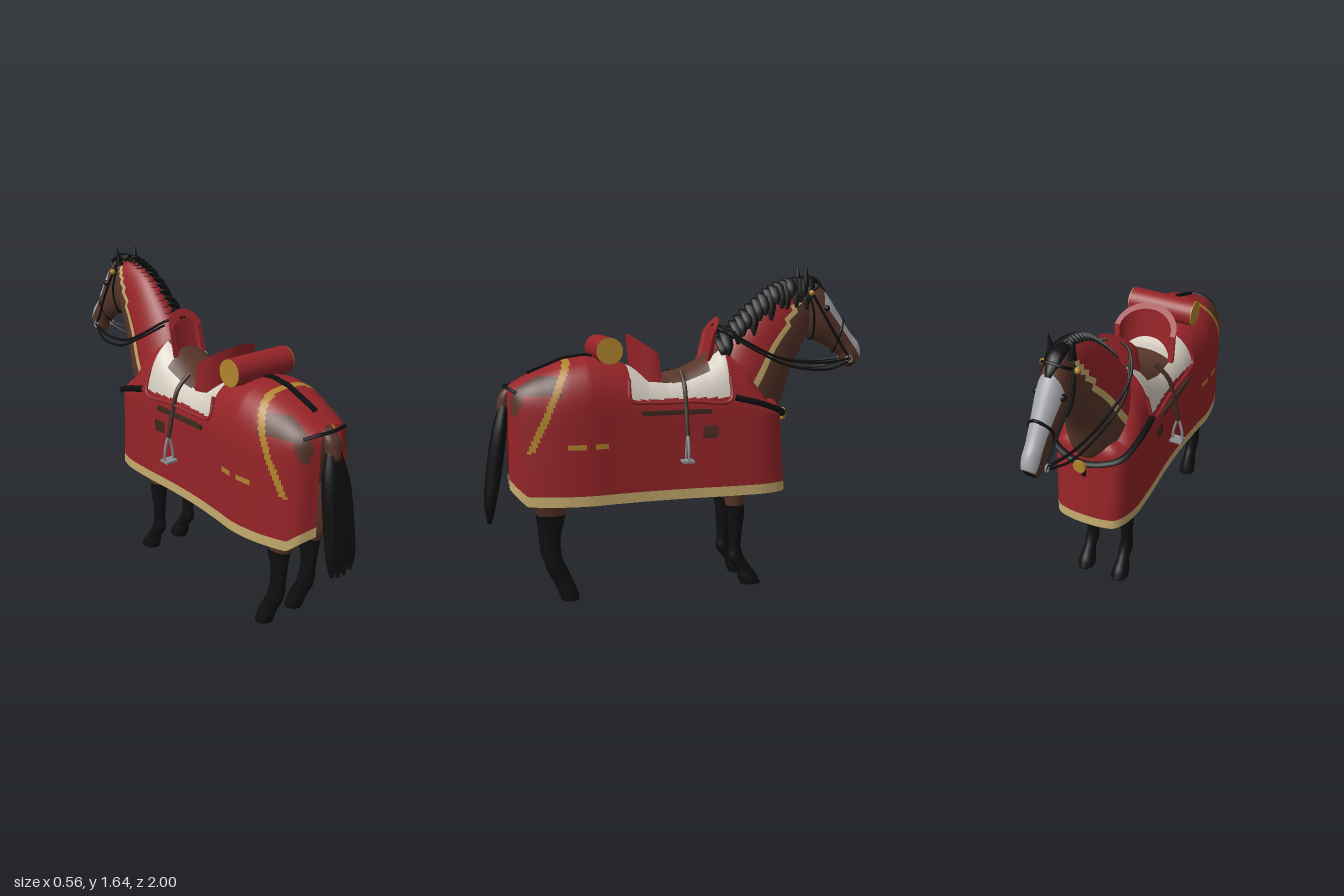
import * as THREE from 'three';

const V = (x, y, z) => new THREE.Vector3(x, y, z);

export function createModel() {
  const root = new THREE.Group();
  const mat = (name, color, side = THREE.FrontSide) => {
    const m = new THREE.MeshStandardMaterial({ color, side });
    m.name = name;
    return m;
  };
  const red = mat('redCloth', 0x962428, THREE.DoubleSide);
  const cream = mat('creamPad', 0xd2cabe, THREE.DoubleSide);
  const hem = mat('strawTrim', 0xc4aa6c, THREE.DoubleSide);
  const gold = mat('gold', 0xb0842c, THREE.DoubleSide);
  const coat = mat('bayCoat', 0x58362a, THREE.DoubleSide);
  const black = mat('black', 0x0f0f0f);
  const blaze = mat('greyBlaze', 0xa2a4aa);
  const leather = mat('leather', 0x3e281e);
  const steel = mat('steel', 0x8c8e92);

  const add = (name, geo, material, parent = root) => {
    const m = new THREE.Mesh(geo, material);
    m.name = name;
    parent.add(m);
    return m;
  };
  // Skin over a grid of points; the rule picks a material for each cell
  const skin = (name, rows, wrap, rule) => {
    const n = rows[0].length, last = wrap ? n : n - 1, byMat = new Map();
    for (let i = 0; i < rows.length - 1; i++) for (let j = 0; j < last; j++) {
      const k = (j + 1) % n, a = i * n + j, b = i * n + k, c = a + n, d = b + n;
      const p = rows[i][j].clone().add(rows[i][k]).add(rows[i + 1][j]).add(rows[i + 1][k]).multiplyScalar(0.25);
      const m = rule(p, (i + 0.5) / (rows.length - 1), (j + 0.5) / n, j);
      if (!byMat.has(m)) byMat.set(m, []);
      byMat.get(m).push(a, b, c, b, d, c);
    }
    const geo = new THREE.BufferGeometry().setFromPoints(rows.flat()), index = [], mats = [];
    for (const [m, list] of byMat) {
      geo.addGroup(index.length, list.length, mats.length);
      for (const v of list) index.push(v);
      mats.push(m);
    }
    geo.setIndex(index);
    geo.computeVertexNormals();
    return add(name, geo, mats);
  };
  // Loft of ellipses; section = [x, az, ay, bz, by, halfWidth]
  const loft = (name, secs, rule, steps = 6, sides = 20) => {
    const A = new THREE.CatmullRomCurve3(secs.map(s => V(s[0], s[2], s[1])));
    const B = new THREE.CatmullRomCurve3(secs.map(s => V(s[5], s[4], s[3])));
    const N = (secs.length - 1) * steps, rows = [];
    for (let i = 0; i <= N; i++) {
      const a = A.getPoint(i / N), b = B.getPoint(i / N), row = [];
      for (let j = 0; j < sides; j++) {
        const t = j / sides * Math.PI * 2, c = Math.cos(t);
        row.push(V(a.x + b.x * Math.sin(t), (a.y + b.y) / 2 + (a.y - b.y) / 2 * c, (a.z + b.z) / 2 + (a.z - b.z) / 2 * c));
      }
      rows.push(row);
    }
    const cap = row => {
      const c = row.reduce((s, p) => s.add(p), V(0, 0, 0)).divideScalar(sides);
      return row.map(() => c.clone());
    };
    return skin(name, [cap(rows[0]), ...rows, cap(rows[N])], true, rule);
  };
  const tube = (name, m, pts, r, closed = false) =>
    add(name, new THREE.TubeGeometry(new THREE.CatmullRomCurve3(pts.map(p => V(...p)), closed), pts.length * 8, r, 6, closed), m);
  const both = f => { f(1, 'left'); f(-1, 'right'); };

  // Horse body
  loft('body', [[0, .83, 1.0, .83, .85, .05], [0, .76, 1.08, .74, .7, .13], [0, .55, 1.15, .55, .62, .17], [0, .2, 1.07, .2, .6, .18],
    [0, -.15, 1.1, -.15, .62, .17], [0, -.38, 1.05, -.38, .66, .15], [0, -.47, .95, -.47, .76, .09]], () => coat);

  // Neck with cloth cover and trim
  loft('neck', [[0, -.12, 1.15, -.42, .78, .16], [0, -.2, 1.27, -.53, .93, .14], [0, -.32, 1.40, -.59, 1.10, .11],
    [0, -.46, 1.52, -.64, 1.20, .085], [0, -.59, 1.57, -.69, 1.30, .068], [0, -.66, 1.57, -.73, 1.36, .055]], p => {
    const d = (p.z + .355) * .862 + (p.y - 1) * .507;
    return d > .03 ? red : d > 0 ? hem : coat;
  }, 14, 40);

  // Head with pale face and dark muzzle
  loft('head', [[0, -.64, 1.58, -.66, 1.33, .052], [0, -.72, 1.575, -.70, 1.28, .066], [0, -.79, 1.51, -.75, 1.255, .068],
    [0, -.87, 1.40, -.82, 1.22, .055], [0, -.94, 1.30, -.88, 1.175, .046], [0, -.985, 1.25, -.90, 1.13, .046],
    [0, -1.0, 1.20, -.935, 1.12, .038], [0, -.985, 1.165, -.96, 1.13, .02]], (p, t, u) => {
    const c = Math.cos(u * Math.PI * 2);
    if (t > .9 || (t > .8 && c < -.6)) return black;
    return t > .25 && t < .86 && c > .3 ? blaze : coat;
  }, 8, 32);
  both((s, side) => {
    const eye = add(side + 'Eye', new THREE.SphereGeometry(.017, 12, 8), black);
    eye.position.set(s * .06, 1.43, -.775);
    const ear = add(side + 'Ear', new THREE.ConeGeometry(.022, .1, 8), black);
    ear.position.set(s * .053, 1.595, -.66);
    ear.rotation.z = -s * .15;
    // Bridle
    tube(side + 'CheekStrap', black, [[s * .05, 1.57, -.66], [s * .07, 1.49, -.7], [s * .073, 1.36, -.78], [s * .055, 1.24, -.865], [s * .05, 1.18, -.91]], .007);
    tube(side + 'ThroatStrap', black, [[s * .06, 1.53, -.67], [s * .07, 1.4, -.7], [s * .03, 1.28, -.71], [0, 1.27, -.71]], .006);
    const boss = add(side + 'Rosette', new THREE.SphereGeometry(.015, 10, 8), gold);
    boss.position.set(s * .08, 1.51, -.68);
    const ring = add(side + 'BitRing', new THREE.TorusGeometry(.018, .004, 6, 14), steel);
    ring.position.set(s * .052, 1.165, -.915);
    ring.rotation.y = Math.PI / 2;
    // Reins
    tube(side + 'UpperRein', black, [[s * .05, 1.165, -.91], [s * .09, 1.15, -.75], [s * .125, 1.18, -.5], [s * .14, 1.27, -.3], [s * .08, 1.34, -.2], [0, 1.35, -.17]], .007);
    tube(side + 'LowerRein', black, [[s * .05, 1.15, -.91], [s * .09, 1.115, -.78], [s * .13, 1.14, -.55], [s * .15, 1.21, -.38], [s * .09, 1.32, -.2]], .006);
  });
  tube('noseband', black, [[0, 1.375, -.895], [.057, 1.31, -.86], [0, 1.2, -.84], [-.057, 1.31, -.86]], .007, true);
  tube('browband', black, [[.062, 1.51, -.68], [.05, 1.55, -.735], [0, 1.565, -.75], [-.05, 1.55, -.735], [-.062, 1.51, -.68]], .008);

  // Mane locks falling to the left, and forelock
  const crest = new THREE.CatmullRomCurve3([V(0, 1.28, -.2), V(0, 1.405, -.32), V(0, 1.525, -.46), V(0, 1.58, -.59), V(0, 1.58, -.68)]);
  for (let i = 0; i < 19; i++) {
    const p = crest.getPoint(i / 18), h = .09 + .035 * Math.sin(i * 2.3) + (i > 4 ? .03 : 0), w = .03;
    const out = .05 + .035 * (1 - i / 18);
    loft('maneLock', [[-.015, p.z - w * .6, p.y - .01, p.z + w * .6, p.y - .01, .015], [.015, p.z - w, p.y + .012, p.z + w, p.y + .005, .025],
      [out, p.z - w, p.y - h * .5, p.z + w * .9, p.y - h * .5, .02], [out + .022, p.z - .004, p.y - h, p.z + .012, p.y - h, .006]], () => black, 4, 10);
  }
  loft('forelock', [[0, -.64, 1.6, -.64, 1.56, .03], [0, -.72, 1.595, -.72, 1.55, .035], [0, -.79, 1.525, -.77, 1.5, .015]], () => black, 4, 10);

  // Legs with dark stockings
  const foreLeg = [[.8, -.42, -.15, .08], [.6, -.37, -.18, .065], [.46, -.315, -.21, .05], [.38, -.315, -.222, .042], [.2, -.30, -.235, .03],
    [.14, -.32, -.23, .034], [.08, -.36, -.275, .032], [.04, -.39, -.285, .042], [0, -.41, -.3, .046]];
  const hindLeg = [[.88, .45, .8, .09], [.65, .5, .8, .08], [.5, .6, .78, .055], [.42, .615, .745, .042], [.3, .64, .73, .032],
    [.17, .62, .715, .035], [.1, .585, .68, .033], [.04, .56, .655, .043], [0, .55, .64, .046]];
  both((s, side) => [['Foreleg', foreLeg], ['HindLeg', hindLeg]].forEach(([name, secs]) =>
    loft(side + name, secs.map(([y, a, b, w]) => [s * .1, a, y, b, y, w]), p => p.y < .435 ? black : coat, 5, 16)));

  // Tail: brown dock and black locks
  loft('tailDock', [[0, .83, 1.07, .86, 1.07, .03], [0, .85, 1.02, .905, 1.03, .042], [0, .86, .93, .925, .94, .035]], () => coat, 5, 12);
  for (let i = 0; i < 7; i++) {
    const k = (i - 3) / 3, end = .385 + .035 * (i % 2) + .02 * Math.abs(k);
    loft('tailLock', [[k * .015, .865, .99, .905, .99, .018], [k * .045, .88, .85, .945, .85, .026], [k * .055, .91, .65, .98, .65, .026],
      [k * .062, .945, .48, .995, .48, .02], [k * .06, .965, end, .985, end, .007]], () => black, 5, 10);
  }

  // Long cloth: plan outline rises straight, then rounds over to the back line
  const plan = new THREE.CatmullRomCurve3([[.065, .875], [.15, .835], [.215, .69], [.24, .52], [.225, .37], [.21, .2], [.205, 0],
    [.21, -.25], [.2, -.41], [.155, -.51], [.08, -.535], [0, -.54]].map(([x, z]) => V(x, 0, z)));
  const back = [[.88, 1.06], [.75, 1.13], [.6, 1.19], [.5, 1.205], [.38, 1.19], [.3, 1.165], [.2, 1.12], [.1, 1.11], [0, 1.13], [-.1, 1.18], [-.2, 1.25], [-.3, 1.2], [-.42, 1.0]];
  const top = z => {
    for (let i = 1; i < back.length; i++) {
      const [z0, y0] = back[i - 1], [z1, y1] = back[i];
      if (z >= z1) return THREE.MathUtils.lerp(y0, y1, Math.max(0, (z0 - z) / (z0 - z1)));
    }
    return 1.0;
  };
  const clothColour = (p, j) => {
    const x = Math.abs(p.x), { y, z } = p;
    if (j === 0) return hem;
    if (z < .3 && z > -.2 && y > 1.0) return x < .14 && z < .16 && !(z < -.12 && x > .07) ? coat : cream;
    if (z > .5 && y > .76 && Math.abs(z - .6 - (1.17 - y) * .44) < .017) return gold;
    if (y > .775 && y < .805 && ((z > .42 && z < .48) || (z > .52 && z < .61))) return gold;
    if (z > .63 && ((y > 1.03 && y < 1.12 && x > .11) || Math.hypot((x - .13) / .032, (y - 1) / .07) < 1)) return coat;
    if (Math.abs(z + .1) < .035 && Math.abs(y - .835) < .03) return leather;
    return red;
  };
  both((s, side) => {
    const rows = [];
    for (let i = 0; i <= 150; i++) {
      const o = plan.getPointAt(i / 150), zc = THREE.MathUtils.clamp(o.z, -.42, .84), yt = top(zc);
      const low = o.z > .8 ? .5 + (o.z - .8) * .9 : .5, yb = o.z > .7 ? .9 + (o.z - .7) * .4 : .9;
      const e = 2 / THREE.MathUtils.clamp(2.3 + zc * .8, 1.9, 2.7), row = [];
      const lean = y => o.z < -.4 ? (-.4 - o.z) / .14 * .035 * (y - .5) / .4 : 0;
      const rise = [low, low + .05];
      for (let k = 1; k <= 28; k++) rise.push(low + .05 + (yb - low - .05) * k / 28);
      for (const y of rise) row.push(V(s * o.x, y, o.z + lean(y)));
      for (let k = 1; k <= 40; k++) {
        const t = (1 - k / 40) * Math.PI / 2, f = k === 40 ? 0 : Math.sin(t) ** e, g = Math.cos(t) ** e;
        row.push(V(s * o.x * f, yb + (yt - yb) * g, zc + (o.z + lean(yb) - zc) * f));
      }
      rows.push(row);
    }
    skin(side + 'Cloth', rows, false, (p, t, u, j) => clothColour(p, j));
  });

  // Saddle ends: curved walls, base and rim heights set by position
  const wall = (name, w, z0, depth, th, yBase, yTop, lean) => {
    const sh = new THREE.Shape(), n = 20;
    for (let i = 0; i <= 2 * n + 1; i++) {
      const inner = i > n, a = Math.PI * (inner ? 2 * n + 1 - i : i) / n, q = inner ? th : 0;
      const pt = [(w - q) * Math.cos(a), (depth - Math.sign(depth) * q) * Math.sin(a)];
      i ? sh.lineTo(...pt) : sh.moveTo(...pt);
    }
    const geo = new THREE.ExtrudeGeometry(sh, { depth: 1, bevelEnabled: false, steps: 1 }), P = geo.attributes.position;
    for (let i = 0; i < P.count; i++) {
      const k = P.getY(i) / depth, h = P.getZ(i);
      P.setXYZ(i, P.getX(i), h > .5 ? yTop(k) : yBase, z0 + P.getY(i) + lean * h);
    }
    geo.computeVertexNormals();
    add(name, geo, red);
  };
  wall('cantle', .165, .135, .125, .028, 1.08, k => 1.22 + .09 * k, .02);
  wall('pommel', .1, -.11, -.05, .028, 1.17, k => 1.31 + .08 * k, -.035);
  both((s, side) => {
    // Pad edging, girth, stirrup leather and stirrup
    tube(side + 'PadEdge', red, [[s * .19, 1.1, .305], [s * .212, 1.0, .3], [s * .213, .985, .2], [s * .21, .985, 0], [s * .212, .985, -.2], [s * .18, 1.1, -.21]], .009);
    add(side + 'GirthStrap', new THREE.BoxGeometry(.016, .022, .35), leather).position.set(s * .215, .935, .075);
    tube(side + 'StirrupLeather', leather, [[s * .12, 1.125, .03], [s * .19, 1.06, .03], [s * .222, .95, .03], [s * .25, .82, .03]], .011);
    tube(side + 'StirrupArch', steel, [[s * .275, .7, .03], [s * .272, .76, .03], [s * .25, .825, .03], [s * .228, .76, .03], [s * .222, .7, .03]], .007);
    add(side + 'StirrupTread', new THREE.BoxGeometry(.065, .012, .055), steel).position.set(s * .248, .698, .03);
    // Bedroll cap
    const cap = add(side + 'BedrollEnd', new THREE.CylinderGeometry(.064, .064, .008, 32), gold);
    cap.rotation.z = Math.PI / 2;
    cap.position.set(s * .172, 1.235, .395);
  });

  // Bedroll behind the saddle
  const roll = add('bedroll', new THREE.CylinderGeometry(.066, .066, .34, 32), red);
  roll.rotation.z = Math.PI / 2;
  roll.position.set(0, 1.235, .395);

  // Crupper straps
  for (let i = 0; i < 8; i++) {
    const z = .47 + i * .04, m = add('crupperStrap', new THREE.BoxGeometry(.026, .014, .046), black);
    m.position.set(0, top(z) + .004, z);
    m.rotation.x = Math.atan2(top(z - .02) - top(z + .02), .04);
  }
  tube('tailStrap', black, [[-.13, 1.04, .83], [-.06, 1.06, .87], [0, 1.065, .885], [.06, 1.06, .87], [.13, 1.04, .83]], .009);

  // Breast strap with medallion
  const half = [[.215, 1.0, -.22], [.212, .965, -.36], [.175, .92, -.48], [.09, .895, -.525]];
  tube('breastStrap', black, [...half, [0, .885, -.54], ...half.map(([x, y, z]) => [-x, y, z]).reverse()], .017);
  const medal = add('medallion', new THREE.CylinderGeometry(.032, .032, .014, 20), gold);
  medal.rotation.x = Math.PI / 2;
  medal.position.set(0, .88, -.562);
  add('medallionStrap', new THREE.BoxGeometry(.02, .07, .01), black).position.set(0, .83, -.525);

  return root;
}
